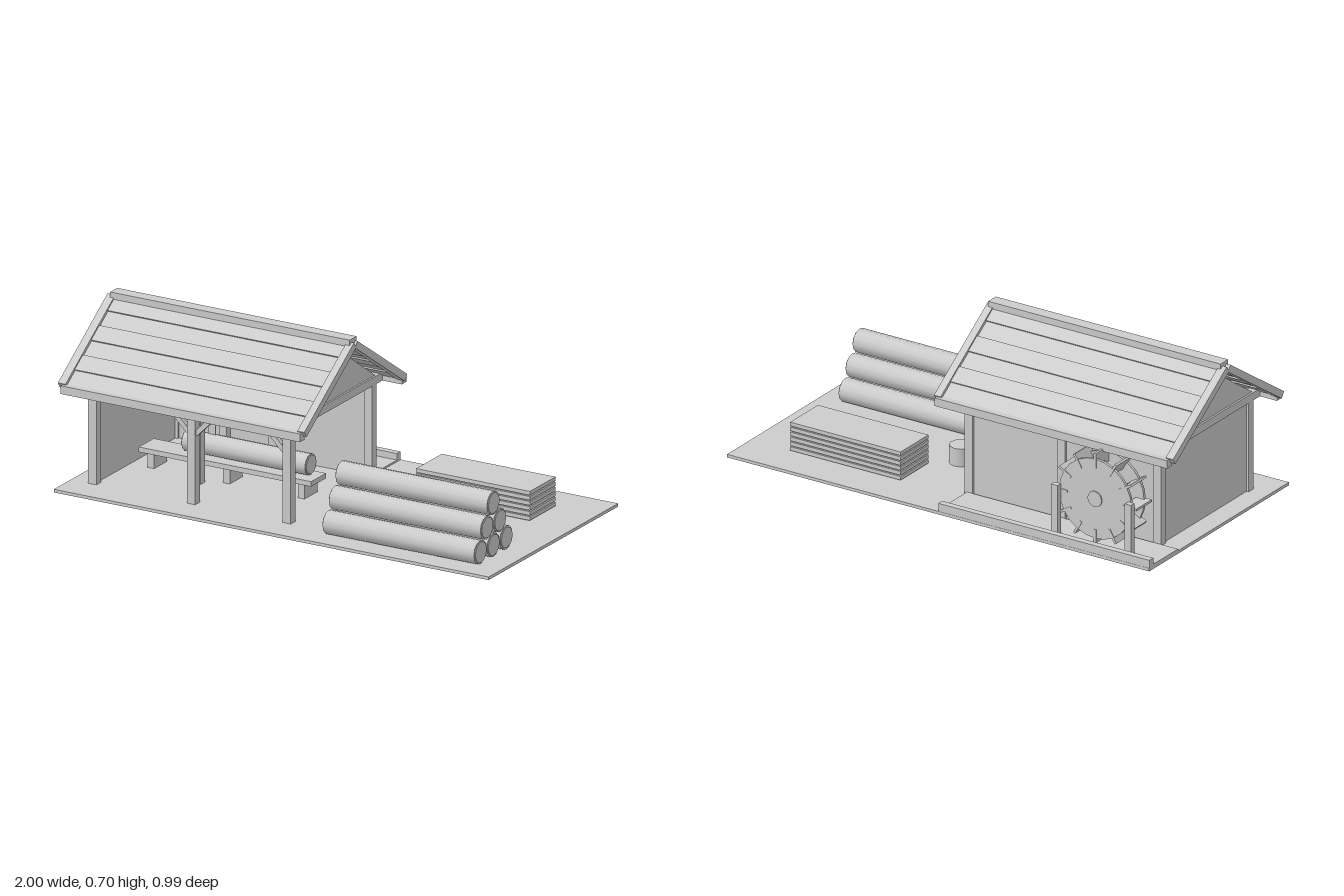
import * as THREE from 'three';

export function createModel() {
  const model = new THREE.Group();
  model.name = 'sawmill';
  const grey = new THREE.MeshStandardMaterial({ color: 0xcccccc });
  grey.name = 'light grey';

  const add = (name, geometry, parent = model) => {
    const mesh = new THREE.Mesh(geometry, grey);
    mesh.name = name;
    parent.add(mesh);
    return mesh;
  };
  const group = (name) => {
    const g = new THREE.Group();
    g.name = name;
    model.add(g);
    return g;
  };
  // Box given by its limits on each axis
  const box = (name, x0, x1, y0, y1, z0, z1, parent) => {
    const mesh = add(name, new THREE.BoxGeometry(x1 - x0, y1 - y0, z1 - z0), parent);
    mesh.position.set((x0 + x1) / 2, (y0 + y1) / 2, (z0 + z1) / 2);
    return mesh;
  };
  const cylinderX = (name, r, x0, x1, y, z, parent, sides = 12) => {
    const mesh = add(name, new THREE.CylinderGeometry(r, r, x1 - x0, sides), parent);
    mesh.rotation.z = Math.PI / 2;
    mesh.position.set((x0 + x1) / 2, y, z);
    return mesh;
  };
  const cylinderZ = (name, r, z0, z1, x, y, parent, sides = 16) => {
    const mesh = add(name, new THREE.CylinderGeometry(r, r, z1 - z0, sides), parent);
    mesh.rotation.x = Math.PI / 2;
    mesh.position.set(x, y, (z0 + z1) / 2);
    return mesh;
  };
  // Log along x with slightly raised cut faces
  const log = (name, r, x0, x1, y, z, parent) => {
    cylinderX(name, r, x0 + 0.004, x1 - 0.004, y, z, parent);
    cylinderX(name + 'CutFaces', r * 0.88, x0, x1, y, z, parent);
  };

  const G = 0.013; // ground level
  box('ground', -0.98, 1, 0, G, -0.495, 0.495);

  // Shed frame: front and back posts, with walls at the back and left
  const shed = group('shed');
  for (const x of [-0.9, -0.45, -0.015]) {
    box('frontPost', x, x + 0.037, G, 0.395, 0.331, 0.366, shed);
    box('backPost', x, x + 0.037, G, 0.395, -0.291, -0.256, shed);
  }
  box('backWall', -0.88, 0, G, 0.395, -0.28, -0.265, shed);
  box('leftWall', -0.89, -0.875, G, 0.395, -0.27, 0.345, shed);

  // Wall plates, eave beams and tie beams
  for (const [z0, z1] of [[-0.291, -0.256], [0.331, 0.366]])
    box('wallPlate', -0.9, 0.022, 0.393, 0.427, z0, z1, shed);
  for (const [z0, z1] of [[-0.369, -0.335], [0.41, 0.443]])
    box('eaveBeam', -0.98, 0.11, 0.393, 0.427, z0, z1, shed);
  for (const x of [-0.9, -0.015])
    box('tieBeam', x, x + 0.037, 0.393, 0.427, -0.369, 0.443, shed);

  // Diagonal braces beside the front posts
  for (const [x, side] of [[-0.45, -1], [-0.413, 1], [-0.015, -1]]) {
    const brace = add('brace', new THREE.BoxGeometry(0.13, 0.02, 0.02), shed);
    brace.position.set(x + side * 0.042, 0.35, 0.348);
    brace.rotation.z = side * Math.PI / 4;
  }

  // Roof: boards and gable boards laid along both slopes
  const roof = group('roof');
  const Z = 0.037, PITCH = Math.atan2(0.255, 0.38);
  const c = Math.cos(PITCH), s = Math.sin(PITCH);
  // Box from a to b down the slope and from n0 to n1 off its surface
  const slopeBox = (name, side, x0, x1, a, b, n0, n1) => {
    const mesh = add(name, new THREE.BoxGeometry(x1 - x0, n1 - n0, b - a), roof);
    const d = (a + b) / 2, n = (n0 + n1) / 2;
    mesh.position.set((x0 + x1) / 2, 0.687 - d * s + n * c, Z + side * (0.013 + d * c + n * s));
    mesh.rotation.x = side * PITCH;
  };
  for (const side of [-1, 1]) {
    for (let i = 0; i < 6; i++) {
      const lift = i % 2 ? 0 : 0.006;
      slopeBox('roofBoard', side, -0.965, 0.09, i * 0.0755, (i + 1) * 0.0755, -0.026 + lift, -0.012 + lift);
    }
    slopeBox('gableBoard', side, -1, -0.965, 0, 0.458, -0.03, 0);
    slopeBox('gableBoard', side, 0.09, 0.122, 0, 0.458, -0.03, 0);
  }
  box('ridgeCap', -0.98, 0.11, 0.672, 0.7, Z - 0.027, Z + 0.027, roof);

  // Gable walls
  const triangle = new THREE.Shape();
  triangle.moveTo(-0.355, 0.41);
  triangle.lineTo(0.355, 0.41);
  triangle.lineTo(0, 0.652);
  const gable = new THREE.ExtrudeGeometry(triangle, { depth: 0.02, bevelEnabled: false });
  gable.rotateY(Math.PI / 2);
  for (const x of [-0.892, -0.006]) add('gableWall', gable, roof).position.set(x, 0, Z);

  // Upright saw frame with a thin blade
  const saw = group('saw');
  for (const z of [0.121, -0.079]) box('sawPost', -0.55, -0.515, G, 0.393, z, z + 0.033, saw);
  box('sawCrossbar', -0.55, -0.515, 0.36, 0.393, -0.079, 0.154, saw);
  box('sawBlade', -0.55, -0.515, 0.1, 0.36, Z - 0.002, Z + 0.002, saw);

  // Carriage bench and the log on it
  const bench = group('bench');
  box('benchTop', -0.83, -0.045, 0.073, 0.094, -0.017, 0.098, bench);
  for (const x of [-0.795, -0.45, -0.11]) box('benchLeg', x, x + 0.03, G, 0.073, -0.008, 0.09, bench);
  log('benchLog', 0.044, -0.65, -0.08, 0.14, Z, bench);

  // Water wheel: two discs, hub, spokes and twelve paddles
  const wheel = group('waterWheel');
  const WX = -0.675, WY = 0.207;
  cylinderZ('axle', 0.016, -0.42, -0.204, WX, WY, wheel, 8);
  cylinderZ('hub', 0.033, -0.422, -0.3, WX, WY, wheel);
  cylinderZ('wheelDisc', 0.17, -0.327, -0.315, WX, WY, wheel, 24);
  cylinderZ('wheelDisc', 0.17, -0.417, -0.405, WX, WY, wheel, 24);
  for (let i = 0; i < 12; i++) {
    const a = (i * Math.PI) / 6;
    const place = (mesh, r) => {
      mesh.position.set(WX + r * Math.cos(a), WY + r * Math.sin(a), -0.365);
      mesh.rotation.z = a;
    };
    place(add('paddle', new THREE.BoxGeometry(0.064, 0.01, 0.11), wheel), 0.163);
    if (i % 2) place(add('spoke', new THREE.BoxGeometry(0.12, 0.014, 0.016), wheel), 0.085);
  }
  for (const x of [-0.862, -0.518]) box('wheelPost', x, x + 0.03, G, 0.235, -0.446, -0.421, wheel);

  // Water channel with its kerb
  box('channelBed', -0.98, 0.01, G, 0.02, -0.467, -0.291);
  box('channelKerb', -0.98, 0.01, G, 0.047, -0.494, -0.466);

  // Log pile in rows of three, two and one
  const pile = group('logPile');
  for (let row = 0; row < 3; row++)
    for (let i = 0; i < 3 - row; i++)
      log('log', 0.049, 0.203, 0.9, 0.063 + row * 0.087, 0.385 - row * 0.0495 - i * 0.099, pile);

  // Stack of sawn planks with thin spacers
  const stack = group('plankStack');
  for (let i = 0; i < 6; i++) {
    const y = 0.017 + i * 0.021;
    box('plank', 0.292, 0.81, y, y + 0.016, -0.335, -0.138, stack);
    box('spacer', 0.3, 0.802, y - 0.005, y, -0.327, -0.146, stack);
  }

  // Chopping stump
  const stump = add('stump', new THREE.CylinderGeometry(0.049, 0.049, 0.076, 12));
  stump.position.set(0.195, 0.051, -0.05);

  return model;
}
